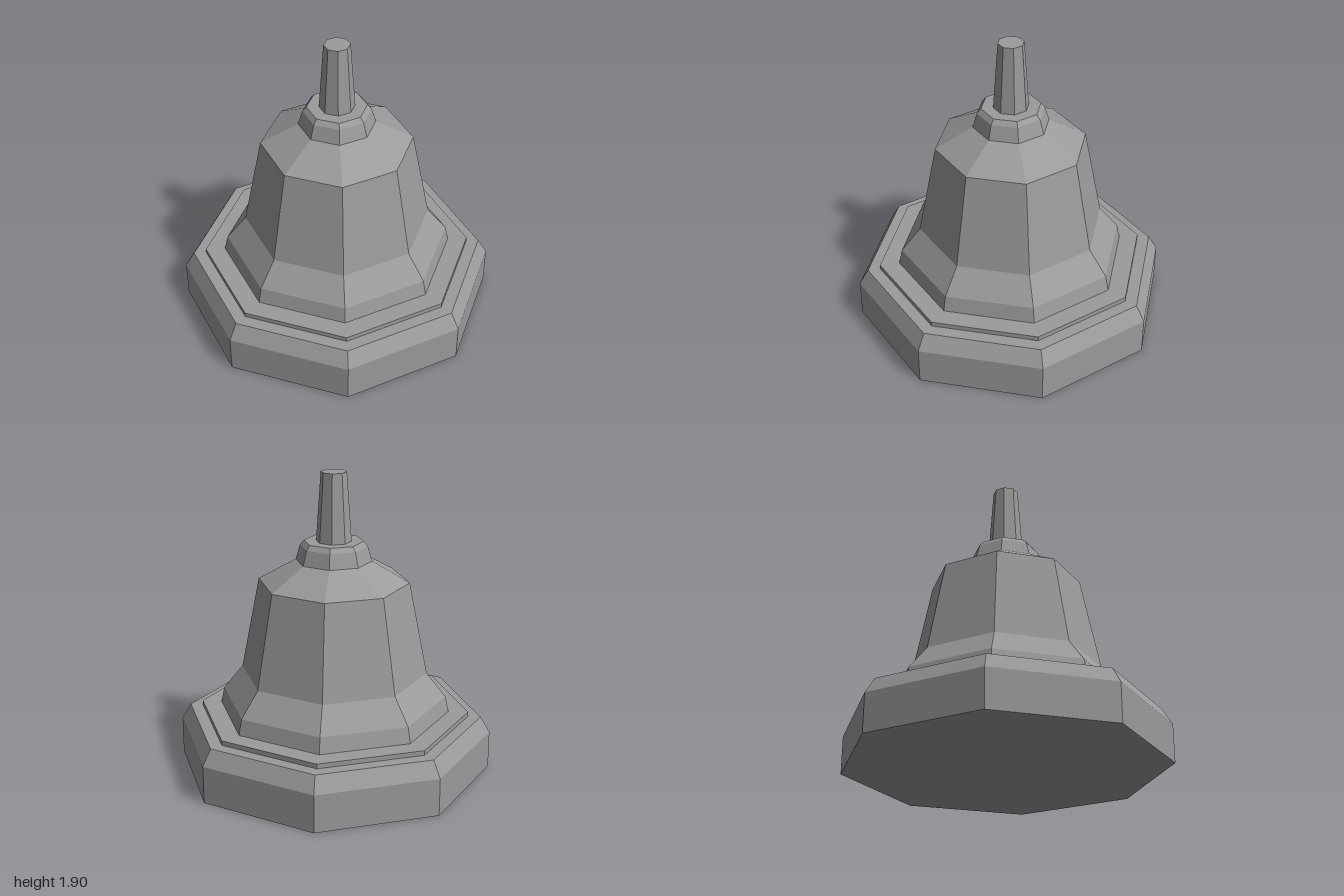
import * as THREE from 'three';

const SIDES = 8;

// Radius/height profiles, listed from bottom to top; each part meets the next
const PARTS = {
  base: [[0, 0], [1, 0], [1, 0.24], [0.94, 0.34], [0.86, 0.34]],
  baseStep: [[0.86, 0.34], [0.86, 0.37], [0.735, 0.37]],
  bell: [[0.735, 0.37], [0.713, 0.47], [0.59, 0.625], [0.472, 1.215], [0.237, 1.347]],
  collar: [[0.237, 1.347], [0.21, 1.44], [0.185, 1.47], [0.11, 1.47]],
  handle: [[0.11, 1.47], [0.08, 1.9], [0, 1.9]],
};

export function createModel() {
  const group = new THREE.Group();
  group.name = 'handBell';
  const material = new THREE.MeshStandardMaterial({ color: 0x9b9b9b, flatShading: true });

  // Every part is an eight-sided turning with corners on the x and z axes
  for (const [name, profile] of Object.entries(PARTS)) {
    const points = profile.map(([r, y]) => new THREE.Vector2(r, y));
    const mesh = new THREE.Mesh(new THREE.LatheGeometry(points, SIDES), material);
    mesh.name = name;
    group.add(mesh);
  }
  return group;
}
